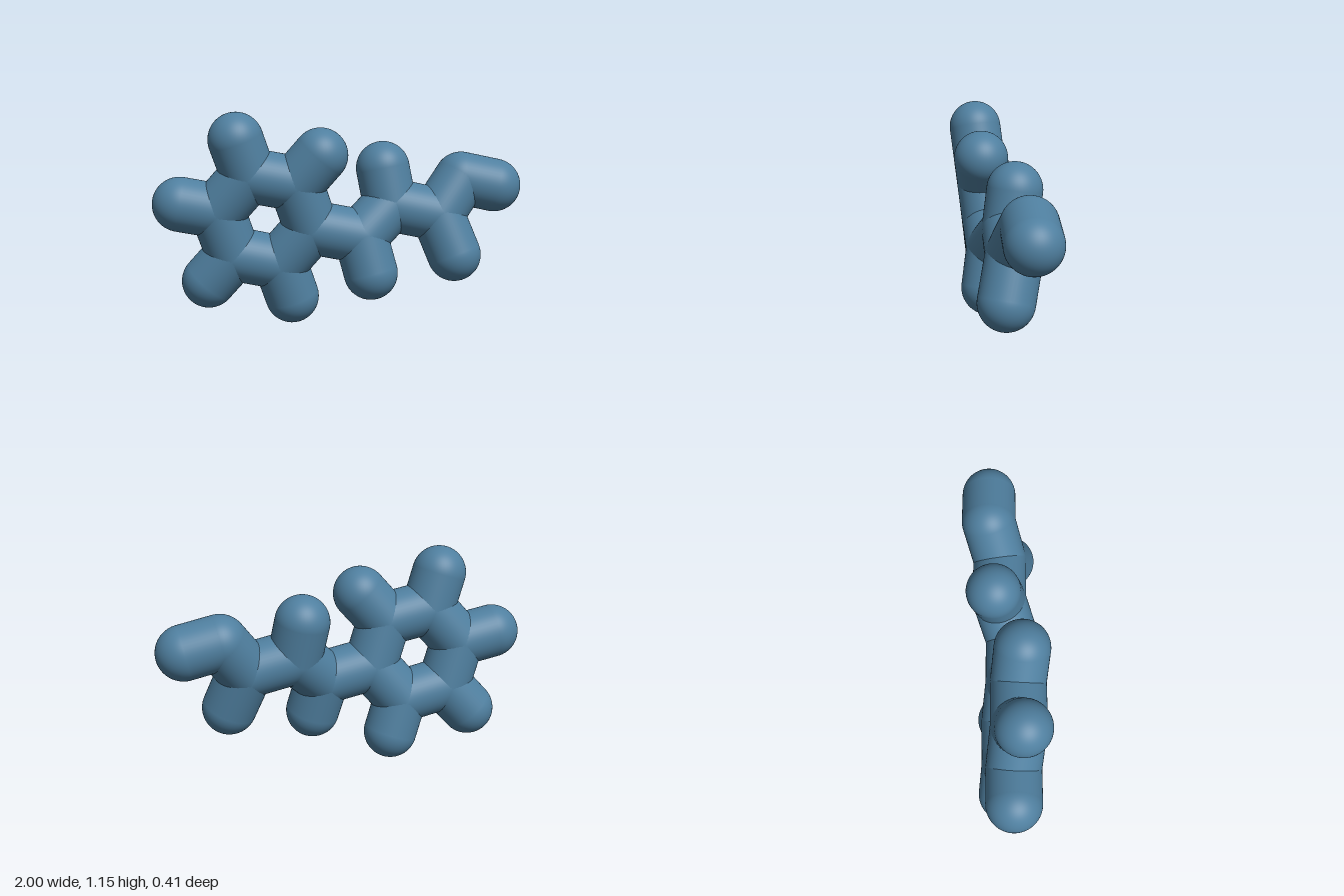
import * as THREE from 'three';

const RADIUS = 0.145;

export function createModel() {
  const model = new THREE.Group();
  model.name = 'stickMolecule';
  const material = new THREE.MeshStandardMaterial({ color: 0x4f7f9f });

  const ball = new THREE.SphereGeometry(RADIUS, 48, 32);
  const up = new THREE.Vector3(0, 1, 0);

  function addAtom(name, p) {
    const mesh = new THREE.Mesh(ball, material);
    mesh.name = name;
    mesh.position.copy(p);
    model.add(mesh);
  }

  function addBond(name, a, b) {
    const dir = b.clone().sub(a);
    const rod = new THREE.CylinderGeometry(RADIUS, RADIUS, dir.length(), 48, 1, true);
    const mesh = new THREE.Mesh(rod, material);
    mesh.name = name;
    mesh.position.copy(a).add(b).multiplyScalar(0.5);
    mesh.quaternion.setFromUnitVectors(up, dir.normalize());
    model.add(mesh);
  }

  // Six-sided ring: outer tips around a centre, ring atoms partway out to them
  const centre = new THREE.Vector3(-0.413, 0.582, 0.001);
  const tips = [
    [-0.12, 0.925, 0.065],
    [-0.56, 1.01, 0.04],
    [-0.855, 0.668, -0.025],
    [-0.71, 0.243, -0.06],
    [-0.265, 0.148, -0.04],
    [0.029, 0.496, 0.026], // direction of the chain, carries no tip
  ].map((p) => new THREE.Vector3(...p));
  const ring = tips.map((t) => centre.clone().lerp(t, 0.56));
  ring.forEach((p, i) => {
    addAtom('ringAtom', p);
    addBond('ringBond', p, ring[(i + 1) % 6]);
    if (i < 5) {
      addAtom('ringTip', tips[i]);
      addBond('ringTipBond', p, tips[i]);
    }
  });

  // Zigzag side chain
  const chain = [
    [0.1, 0.48, 0.03],
    [0.27, 0.638, -0.03],
    [0.53, 0.582, -0.01],
    [0.67, 0.77, -0.06],
    [0.853, 0.73, -0.048],
  ].map((p) => new THREE.Vector3(...p));
  let previous = ring[5];
  for (const p of chain) {
    addAtom('chainAtom', p);
    addBond('chainBond', previous, p);
    previous = p;
  }

  // Side branches on the first three chain atoms
  [
    [0.15, 0.285, 0.063],
    [0.235, 0.835, -0.06],
    [0.613, 0.367, 0.042],
  ].forEach((p, i) => {
    const tip = new THREE.Vector3(...p);
    addAtom('branchTip', tip);
    addBond('branchBond', chain[i], tip);
  });

  return model;
}
